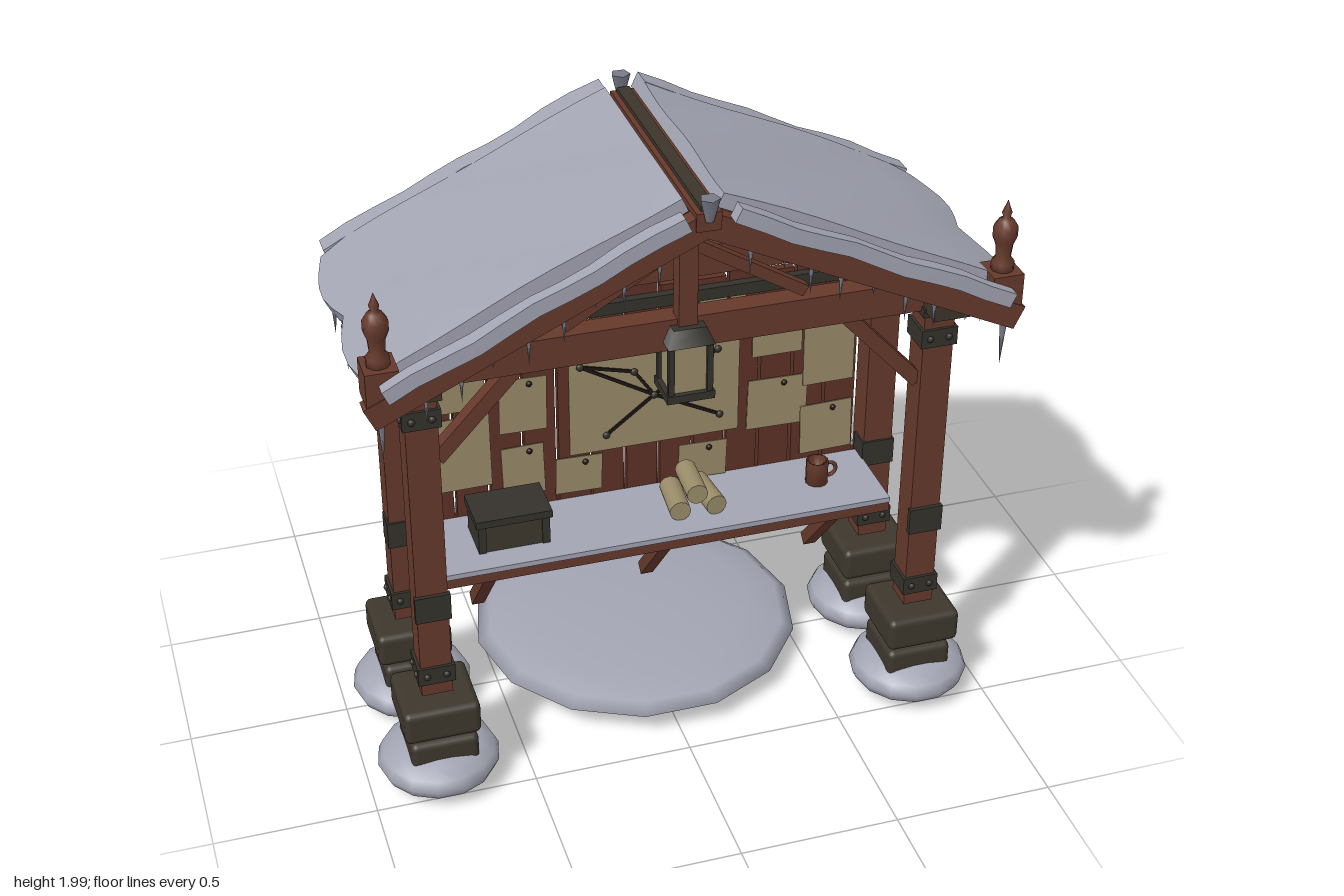
import * as THREE from 'three';
import { RoundedBoxGeometry } from 'three/addons/geometries/RoundedBoxGeometry.js';

export function createModel() {
  const root = new THREE.Group();
  const mat = (name, color) => { const m = new THREE.MeshStandardMaterial({ color }); m.name = name; return m; };
  const wood = mat('red wood', 0x66392b), board = mat('plank wood', 0x5d3226);
  const stone = mat('stone', 0x3d372d), iron = mat('iron', 0x35322c), dark = mat('dark roof wood', 0x3c352b);
  const snow = mat('snow', 0xa2a4b2), ice = mat('ice', 0x787b88), paper = mat('paper', 0x998c69), ink = mat('ink', 0x1e1714);

  const add = (name, geo, m, x = 0, y = 0, z = 0, rx = 0, ry = 0, rz = 0) => {
    const o = new THREE.Mesh(geo, m);
    o.name = name; o.position.set(x, y, z); o.rotation.set(rx, ry, rz);
    root.add(o);
    return o;
  };
  // box given by its limits
  const box = (name, m, x0, x1, y0, y1, z0, z1) =>
    add(name, new THREE.BoxGeometry(x1 - x0, y1 - y0, z1 - z0), m, (x0 + x1) / 2, (y0 + y1) / 2, (z0 + z1) / 2);
  // square bar between two points
  const bar = (name, m, a, b, w, d = w) => {
    const p = new THREE.Vector3(...a), q = new THREE.Vector3(...b), v = q.clone().sub(p);
    const o = add(name, new THREE.BoxGeometry(w, v.length(), d), m);
    o.position.copy(p).add(q).multiplyScalar(0.5);
    o.quaternion.setFromUnitVectors(new THREE.Vector3(0, 1, 0), v.normalize());
    return o;
  };
  const ball = (name, m, x, y, z, rx, ry, rz, n = 14) => {
    const g = new THREE.SphereGeometry(1, n, 8);
    g.scale(rx, ry, rz);
    return add(name, g, m, x, y, z);
  };
  const icicle = (x, y, z, len, r = 0.012) => {
    const g = new THREE.ConeGeometry(r, len, 6);
    g.rotateX(Math.PI);
    add('icicle', g, ice, x, y - len / 2, z);
  };

  // four posts on stone footings in snow
  const postZ = [0.385, -0.008];
  for (const s of [-1, 1]) for (const z of postZ) {
    const x = s * 0.78;
    box('post', wood, x - 0.048, x + 0.048, 0.36, 1.46, z - 0.046, z + 0.046);
    add('footingUpper', new RoundedBoxGeometry(0.235, 0.112, 0.235, 2, 0.02), stone, x, 0.29, z);
    add('footingLower', new RoundedBoxGeometry(0.21, 0.15, 0.21, 2, 0.02), stone, x - s * 0.005, 0.14, z);
    ball('snowMound', snow, x, 0.088, z, 0.19, 0.08, 0.19);
    for (const [y, h] of [[0.435, 0.06], [1.34, 0.06]]) {
      box('postBand', iron, x - 0.057, x + 0.057, y - h / 2, y + h / 2, z - 0.055, z + 0.055);
      for (const k of [-0.03, 0.03]) {
        ball('bolt', iron, x + k, y, z + 0.056, 0.011, 0.011, 0.008, 6);
        ball('bolt', iron, x + s * 0.058, y, z + k, 0.008, 0.011, 0.011, 6);
      }
    }
    box('postCap', iron, x - 0.056, x + 0.056, 1.415, 1.445, z - 0.055, z + 0.055);
  }
  for (const s of [-1, 1]) {
    box('postPlate', iron, s * 0.78 - 0.054, s * 0.78 + 0.054, 0.64, 0.73, 0.425, 0.443);
    box('shelfBracket', iron, s * 0.78 - 0.054, s * 0.78 + 0.054, 0.64, 0.73, -0.03, 0.045);
    box('wallPlate', dark, s * 0.8 - 0.07, s * 0.8 + 0.07, 1.435, 1.485, -0.12, 0.5);
    bar('kneeBrace', wood, [s * 0.735, 1.18, 0.385], [s * 0.5, 1.435, 0.385], 0.045);
    bar('sideBrace', wood, [s * 0.78, 1.27, 0.05], [s * 0.78, 1.44, 0.17], 0.035);
  }
  ball('snowPatch', snow, 0, 0.09, -0.11, 0.535, 0.07, 0.535);

  // back wall of planks with rails
  const N = 13, pitch = 1.43 / N;
  for (let i = 0; i < N; i++) {
    const x = -0.715 + pitch * (i + 0.5);
    box('wallPlank', board, x - pitch / 2 + 0.005, x + pitch / 2 - 0.005, 0.62, 1.395 + 0.012 * Math.sin(i * 2.3), -0.045, -0.018);
  }
  box('topRail', iron, -0.73, 0.73, 1.33, 1.37, -0.018, 0.01);
  box('backRail', wood, -0.73, 0.73, 0.63, 0.67, -0.075, -0.045);
  box('backRailSnow', snow, -0.73, 0.73, 0.67, 0.685, -0.078, -0.045);

  // shelf with braces
  box('shelf', wood, -0.735, 0.735, 0.61, 0.652, -0.018, 0.26);
  box('shelfSnow', snow, -0.73, 0.73, 0.652, 0.67, -0.018, 0.275);
  for (const x of [-0.56, 0, 0.56]) bar('shelfBrace', wood, [x, 0.61, 0.22], [x, 0.375, 0.02], 0.04);

  // tie beams, truss and gable infill
  box('frontTie', wood, -0.77, 0.77, 1.43, 1.53, 0.35, 0.42);
  box('backTie', wood, -0.77, 0.77, 1.43, 1.53, -0.06, 0.03);
  box('kingPost', wood, -0.028, 0.028, 1.5, 1.86, 0.38, 0.435);
  box('kingBracket', iron, -0.06, 0.06, 1.79, 1.89, 0.37, 0.45);
  for (const s of [-1, 1]) bar('trussStrut', wood, [s * 0.36, 1.555, 0.4], [s * 0.02, 1.76, 0.4], 0.035);
  const tri = new THREE.Shape([[-0.78, 1.52], [0.78, 1.52], [0, 1.9]].map(p => new THREE.Vector2(...p)));
  add('gablePanel', new THREE.ExtrudeGeometry(tri, { depth: 0.03, bevelEnabled: false }), dark, 0, 0, -0.05);

  // roof: everything follows one slope; c is the height of the centre line at the ridge
  const K = 0.47, A = Math.atan(K);
  const slope = (name, m, s, x0, x1, c, t, z0, z1, bend) => {
    const len = (x1 - x0) / Math.cos(A), xm = (x0 + x1) / 2;
    const g = new THREE.BoxGeometry(len, t, z1 - z0, bend ? 10 : 1, 1, bend ? 10 : 1);
    if (bend) {
      const p = g.attributes.position, v = new THREE.Vector3();
      for (let i = 0; i < p.count; i++) { v.fromBufferAttribute(p, i); bend(v, v.x * s / len + 0.5); p.setXYZ(i, v.x, v.y, v.z); }
      g.computeVertexNormals();
    }
    add(name, g, m, s * xm, c - K * xm, (z0 + z1) / 2, 0, 0, -s * A);
  };
  for (const s of [-1, 1]) {
    slope('roofDeck', dark, s, 0, 0.925, 1.925, 0.05, -0.19, 0.555);
    slope('backBarge', dark, s, 0, 0.925, 1.92, 0.065, -0.205, -0.18);
    slope('frontBarge', wood, s, 0, 0.95, 1.915, 0.075, 0.55, 0.6);
    for (const z of [0.15, 0.28]) slope('rafter', dark, s, 0.03, 0.88, 1.88, 0.04, z - 0.02, z + 0.02);
    // sagging snow with a scalloped eave
    slope('roofSnow', snow, s, 0.05, 0.93, 1.984, 0.046, -0.19, 0.55, (v, u) => {
      const z = v.z;
      if (u > 0.95) { v.x += s * 0.04 * Math.abs(Math.sin((z + 0.37) * 8.5)); v.y -= 0.012; }
      if (v.y > 0) v.y += 0.008 * Math.sin(u * 3.1) + 0.004 * Math.sin(u * 9 + z * 13 + s);
    });
    const ragged = (v, u) => { v.y += 0.005 * Math.sin(u * 17 + s); v.z += v.z * 0.12 * Math.sin(u * 11); };
    slope('frontSnowLip', snow, s, 0.07, 0.91, 1.982, 0.045, 0.595, 0.64, ragged);
    slope('backSnowLip', snow, s, 0.05, 0.915, 1.982, 0.05, -0.265, -0.19, ragged);

    // corner finials
    const x = s * 0.908, z = 0.545;
    box('finialBase', wood, x - 0.047, x + 0.047, 1.5, 1.61, z - 0.052, z + 0.052);
    const prof = [[0, 1.6], [0.034, 1.6], [0.034, 1.635], [0.022, 1.65], [0.026, 1.69], [0.036, 1.715], [0.036, 1.745],
      [0.022, 1.768], [0.01, 1.775], [0.015, 1.79], [0, 1.83]].map(p => new THREE.Vector2(...p));
    add('finial', new THREE.LatheGeometry(prof, 10), wood, x, 0, z);

    // icicles under the eaves
    [[0.57, 0.15], [0.44, 0.08], [0.37, 0.06], [0.3, 0.13], [0.22, 0.06], [0.15, 0.07], [0.05, 0.15], [0, 0.06], [-0.09, 0.08], [-0.14, 0.14]]
      .forEach(([iz, len], i) => icicle(s * (0.915 - 0.012 * (i % 3)), 1.455, iz, len));
    // icicles along the gable edges
    [0.13, 0.23, 0.31, 0.4, 0.5, 0.6, 0.69, 0.79].forEach((ix, i) => {
      icicle(s * ix, 1.885 - K * ix, 0.575, 0.04 + 0.065 * Math.abs(Math.sin(i * 2.1 + s)), 0.009);
    });
    icicle(s * 0.88, 1.44, -0.23, 0.08);
  }
  // ridge beam with its snow and end tips
  box('ridgeBeam', wood, -0.036, 0.036, 1.9, 1.955, -0.22, 0.605);
  box('ridgeSnow', dark, -0.02, 0.02, 1.955, 1.968, -0.21, 0.59);
  for (const z of [-0.235, 0.605]) add('ridgeTip', new THREE.CylinderGeometry(0.03, 0.012, 0.07, 5), ice, 0, 1.965, z);

  // hanging lantern
  const lz = 0.405;
  box('lanternGlow', paper, -0.056, 0.056, 1.3, 1.46, lz - 0.05, lz + 0.05);
  box('lanternFoot', iron, -0.072, 0.072, 1.28, 1.305, lz - 0.066, lz + 0.066);
  add('lanternRoof', new THREE.CylinderGeometry(0.07, 0.1, 0.05, 4, 1, false, Math.PI / 4), iron, 0, 1.487, lz);
  for (const sx of [-1, 1]) for (const sz of [-1, 1])
    box('lanternBar', iron, sx * 0.058 - 0.009, sx * 0.058 + 0.009, 1.3, 1.465, lz + sz * 0.052 - 0.009, lz + sz * 0.052 + 0.009);

  // pinned notices: left, right, bottom, top
  const notices = [[-0.69, -0.5, 1.06, 1.31], [-0.71, -0.49, 0.78, 1.04], [-0.46, -0.31, 0.96, 1.15], [-0.455, -0.32, 0.72, 0.9],
    [-0.285, -0.135, 0.7, 0.83], [-0.265, -0.13, 1.22, 1.32], [0.18, 0.33, 1.22, 1.33], [0.355, 0.52, 1.09, 1.29],
    [0.525, 0.695, 0.96, 1.21], [0.345, 0.545, 0.82, 1], [0.525, 0.7, 0.7, 0.88], [0.115, 0.275, 0.68, 0.81]];
  notices.forEach(([x0, x1, y0, y1], i) => {
    const z = -0.012 + 0.005 * (i % 3);
    box('notice', paper, x0, x1, y0, y1, z, z + 0.004).rotation.z = 0.025 * Math.sin(i * 2.7);
    ball('pin', ink, (x0 + x1) / 2 + 0.02, y1 - 0.02, z + 0.008, 0.01, 0.01, 0.008, 6);
  });
  // large chart with drawn routes
  box('chart', paper, -0.242, 0.308, 0.848, 1.205, 0.005, 0.011);
  const nodes = [[-0.207, 1.165], [0.245, 0.915], [-0.125, 0.905], [0.235, 1.155], [-0.035, 1.12], [0.03, 1.025]];
  for (const [a, b] of [[0, 5], [5, 1], [2, 5], [5, 3], [0, 4], [4, 5]])
    bar('route', ink, [...nodes[a], 0.014], [...nodes[b], 0.014], 0.01, 0.006);
  for (const [x, y] of nodes) ball('routePin', iron, x, y, 0.016, 0.012, 0.012, 0.008, 8);

  // chest on the shelf
  box('chest', stone, -0.575, -0.365, 0.67, 0.765, 0.05, 0.19);
  box('chestLid', iron, -0.59, -0.35, 0.765, 0.79, 0.04, 0.2);
  for (const x of [-0.57, -0.37]) box('chestStrap', iron, x - 0.012, x + 0.012, 0.67, 0.77, 0.045, 0.195);

  // stacked scrolls
  for (const [x, y, r] of [[0.065, 0.702, 0.08], [0.17, 0.702, -0.1], [0.118, 0.755, 0.05]])
    add('scroll', new THREE.CylinderGeometry(0.034, 0.034, 0.15, 12), paper, x, y, 0.125, Math.PI / 2, 0, r);

  // mug
  const cup = [[0, 0.675], [0.036, 0.67], [0.036, 0.75], [0.028, 0.75], [0.028, 0.7], [0, 0.7]].map(p => new THREE.Vector2(...p));
  add('mug', new THREE.LatheGeometry(cup, 12), wood, 0.54, 0, 0.12).material.side = THREE.DoubleSide;
  add('mugHandle', new THREE.TorusGeometry(0.024, 0.007, 6, 12), wood, 0.58, 0.71, 0.12);
  return root;
}
